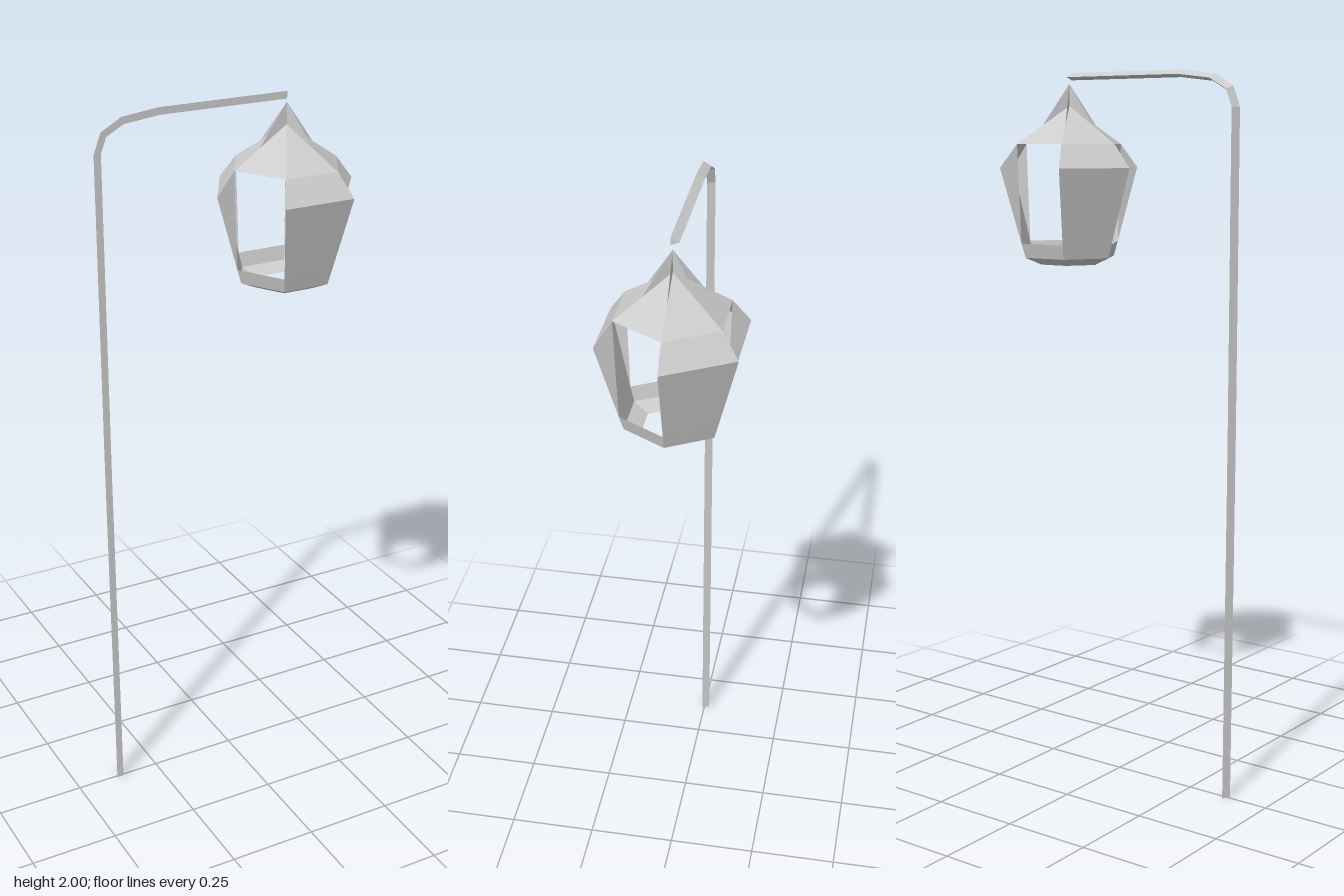
import * as THREE from 'three';

const grey = new THREE.MeshStandardMaterial({ color: 0xcccccc, flatShading: true, side: THREE.DoubleSide });
const CENTRE_X = 0.175;

// Point on a hexagonal ring of the lantern: ring = [radius, height], i = corner
const corner = ([r, y], i) => {
  const a = (i * Math.PI) / 3;
  return [CENTRE_X + r * Math.cos(a), y, r * Math.sin(a)];
};

// Mesh from a list of convex polygons, fanned into triangles
function facets(name, polygons) {
  const pos = [];
  for (const p of polygons)
    for (let i = 1; i < p.length - 1; i++) pos.push(...p[0], ...p[i], ...p[i + 1]);
  const geo = new THREE.BufferGeometry();
  geo.setAttribute('position', new THREE.Float32BufferAttribute(pos, 3));
  geo.computeVertexNormals();
  const mesh = new THREE.Mesh(geo, grey);
  mesh.name = name;
  return mesh;
}

// Outward-facing quad on side i between a lower and an upper ring
const side = (lo, hi, i) => [corner(lo, i + 1), corner(lo, i), corner(hi, i), corner(hi, i + 1)];

// Lantern rings
const TIP = [0, 1.97], PEAK = [0, 1.91], FIN = [0.08, 1.857], EAVE = [0.157, 1.805];
const SHOULDER = [0.208, 1.74], SILL = [0.147, 1.53], RIM = [0.135, 1.49], BASE = [0.088, 1.47];

function createLantern() {
  const lantern = new THREE.Group();
  lantern.name = 'lantern';
  const roof = [], fins = [], panels = [], band = [], base = [];
  for (let i = 0; i < 6; i++) {
    roof.push([corner(EAVE, i + 1), corner(EAVE, i), corner(PEAK, i)]);
    fins.push([corner(FIN, i), corner(TIP, i), corner(PEAK, i)]);
    band.push(side(RIM, SILL, i));
    base.push(side(BASE, RIM, i));
    // Every other side is a solid panel with bulging shoulder and cheeks, the rest are open windows
    if (i % 2) {
      panels.push(side(SHOULDER, EAVE, i), side(SILL, SHOULDER, i));
      panels.push([corner(EAVE, i), corner(SHOULDER, i), corner(SILL, i)]);
      panels.push([corner(EAVE, i + 1), corner(SILL, i + 1), corner(SHOULDER, i + 1)]);
    }
  }
  lantern.add(
    facets('roof', roof), facets('roofFins', fins), facets('sidePanels', panels),
    facets('sillBand', band), facets('baseRim', base));
  return lantern;
}

// Three-sided bar swept along the post and the bent arm
function createPole() {
  const path = [[-0.37, 0], [-0.374, 1], [-0.374, 1.9], [-0.356, 1.948], [-0.302, 1.978], [-0.2, 1.99], [0.172, 1.99]]
    .map(([x, y]) => new THREE.Vector2(x, y));
  const section = [[0.01, 0.006], [-0.002, -0.016], [-0.01, 0.006]]; // outward offset, z
  const rings = path.map((p, i) => {
    const before = path[Math.max(i - 1, 0)], after = path[Math.min(i + 1, path.length - 1)];
    const t = after.clone().sub(before).normalize();
    if (i === path.length - 1) t.set(1, 0);
    return section.map(([n, z]) => [p.x - t.y * n, p.y + t.x * n, z]);
  });
  const polygons = [[...rings[0]], [...rings[rings.length - 1]].reverse()];
  for (let i = 0; i < rings.length - 1; i++)
    for (let k = 0; k < 3; k++) {
      const m = (k + 1) % 3;
      polygons.push([rings[i][k], rings[i + 1][k], rings[i + 1][m], rings[i][m]]);
    }
  return facets('poleAndArm', polygons);
}

export function createModel() {
  const model = new THREE.Group();
  model.name = 'streetLamp';
  model.add(createPole(), createLantern());
  return model;
}
